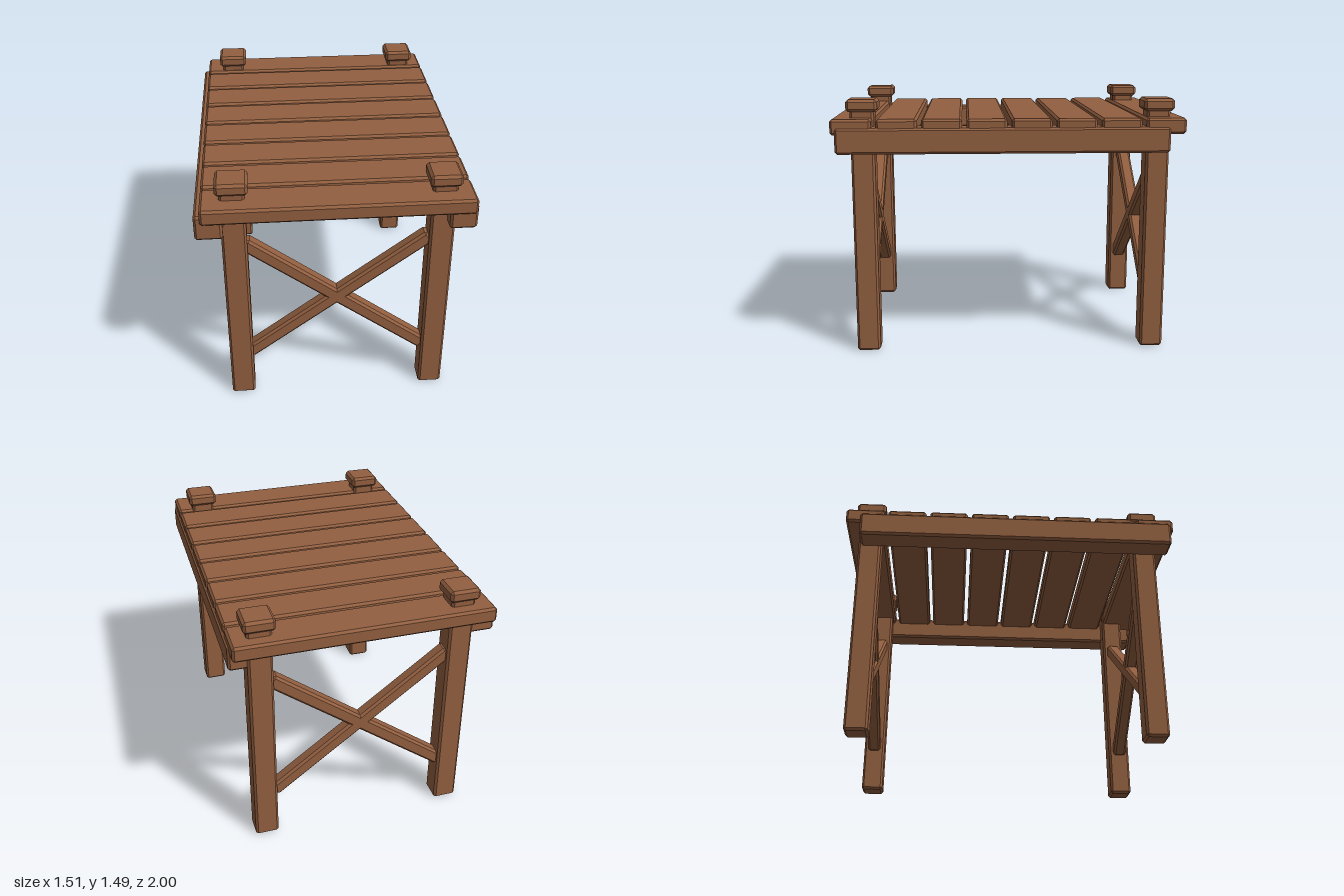
import * as THREE from 'three';
import { ConvexGeometry } from 'three/addons/geometries/ConvexGeometry.js';

// Box with flat chamfers on every edge
function chamferBox(w, h, d, b = 0.013) {
  const points = [];
  for (const sx of [-1, 1]) for (const sy of [-1, 1]) for (const sz of [-1, 1]) {
    const [x, y, z] = [w / 2, h / 2, d / 2];
    points.push(new THREE.Vector3(sx * x, sy * (y - b), sz * (z - b)));
    points.push(new THREE.Vector3(sx * (x - b), sy * y, sz * (z - b)));
    points.push(new THREE.Vector3(sx * (x - b), sy * (y - b), sz * z));
  }
  return new ConvexGeometry(points);
}

export function createModel() {
  const group = new THREE.Group();
  const wood = new THREE.MeshStandardMaterial({ color: 0x925f40 });
  wood.name = 'brown wood';

  const add = (name, geometry, x, y, z, tilt = 0) => {
    const mesh = new THREE.Mesh(geometry, wood);
    mesh.name = name;
    mesh.position.set(x, y, z);
    mesh.rotation.z = tilt;
    group.add(mesh);
  };

  const postX = [-0.555, 0.585];
  const postZ = [0.83, -0.858];

  // Table top: eight planks with narrow gaps
  const plank = chamferBox(1.47, 0.09, 0.228);
  for (let i = 0; i < 8; i++) add('plank', plank, 0.01, 1.34, -0.886 + i * 0.2531);

  // Side beams under the plank ends
  const beam = chamferBox(0.15, 0.147, 1.885);
  for (const x of [-0.684, 0.68]) add('sideBeam', beam, x, 1.263, 0.032);

  // Corner posts with caps above the planks
  const post = chamferBox(0.138, 1.45, 0.135);
  const cap = chamferBox(0.176, 0.07, 0.176, 0.015);
  for (const x of postX) for (const z of postZ) {
    add('post', post, x, 0.725, z);
    add('postCap', cap, x, 1.453, z);
  }

  // Crossed braces between the posts at each end
  const slope = Math.atan2(0.765, 1.01);
  const brace = chamferBox(1.3, 0.08, 0.08);
  for (const z of postZ) for (const side of [-1, 1]) {
    add('crossBrace', brace, 0.01, 0.682, z, side * slope);
  }

  return group;
}
